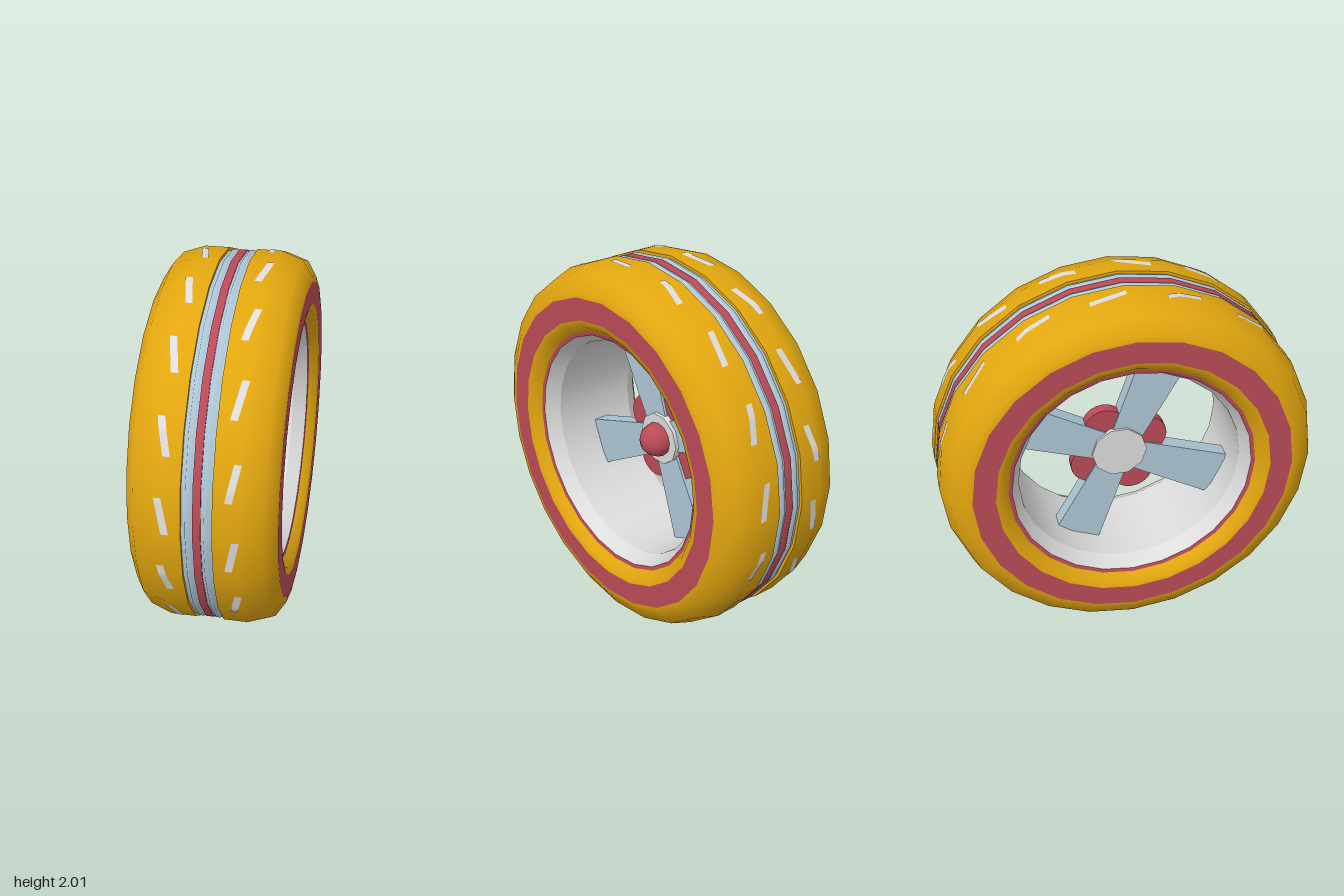
import * as THREE from 'three';

const SIDES = 24;

export function createModel() {
  const model = new THREE.Group();
  model.name = 'wheel';
  const wheel = new THREE.Group();
  wheel.name = 'wheelAssembly';
  wheel.position.y = 1;
  model.add(wheel);

  const mat = (name, color) => {
    const m = new THREE.MeshStandardMaterial({ color });
    m.name = name;
    return m;
  };
  const yellow = mat('yellow rubber', 0xe2a60f);
  const red = mat('red trim', 0xba4b57);
  const blue = mat('pale blue', 0xaec7d6);
  const white = mat('off white', 0xdcdcdc);

  const add = (parent, name, geo, material) => {
    const mesh = new THREE.Mesh(geo, material);
    mesh.name = name;
    parent.add(mesh);
    return mesh;
  };

  // Ring turned about the x axis from [x, radius] points
  const ring = (name, pts, material) => {
    const geo = new THREE.LatheGeometry(pts.map(([x, r]) => new THREE.Vector2(r, x)), SIDES);
    geo.rotateZ(-Math.PI / 2);
    return add(wheel, name, geo, material);
  };
  const flip = (pts) => pts.map(([x, r]) => [-x, r]).reverse();
  const pair = (name, pts, material) => {
    ring(name + 'Left', pts, material);
    ring(name + 'Right', flip(pts), material);
  };

  // Tyre: tread shoulders, sidewall bands and inner bead
  pair('treadShoulder', [[0.075, 1], [0.2, 1], [0.315, 0.96], [0.365, 0.88], [0.37, 0.85]], yellow);
  pair('grooveWall', [[0.075, 0.98], [0.075, 1]], yellow);
  pair('sidewallBand', [[0.37, 0.85], [0.37, 0.73]], red);
  pair('innerBead', [[0.37, 0.73], [0.36, 0.695], [0.32, 0.66]], yellow);
  pair('beadTrim', [[0.32, 0.66], [0.315, 0.64]], red);

  // Centre stripe set in the groove
  pair('grooveStripe', [[0.02, 0.986], [0.03, 0.986], [0.034, 0.993], [0.054, 0.993],
    [0.058, 0.984], [0.075, 0.984]], blue);
  ring('centreStripe', [[-0.02, 0.986], [-0.019, 0.993], [0.019, 0.993], [0.02, 0.986]], red);

  // Rim: sloped lips and a straight barrel
  pair('rimLip', [[0.315, 0.64], [0.24, 0.595]], white);
  ring('rimBarrel', [[0.24, 0.595], [-0.24, 0.595]], white);

  // Slanted tread dashes that follow the faceted tyre
  const step = (2 * Math.PI) / SIDES;
  const facetRadius = (a) => {
    const d = a - step * (Math.floor(a / step) + 0.5);
    return Math.cos(step / 2) / Math.cos(d);
  };
  const dash = (side, angle) => {
    const geo = new THREE.PlaneGeometry(1, 1, 2, 10);
    const p = geo.attributes.position;
    for (let i = 0; i < p.count; i++) {
      const u = p.getX(i), v = p.getY(i);
      const x = side * (0.169 + 0.037 * v) + 0.036 * u;
      const a = angle + v * 0.19;
      const drop = Math.max(0, Math.abs(x) - 0.2) * 0.35;
      const r = facetRadius(a) - drop + 0.003;
      p.setXYZ(i, x, r * Math.sin(a), r * Math.cos(a));
    }
    geo.computeVertexNormals();
    add(wheel, 'treadDash', geo, white);
  };
  for (let i = 0; i < 16; i++) {
    const a = (i * Math.PI) / 8;
    dash(1, a - 0.097);
    dash(-1, a + 0.1);
  }

  // Hub with domed cap, slightly off centre
  const hub = new THREE.Group();
  hub.name = 'hubAndSpokes';
  hub.position.z = -0.025;
  wheel.add(hub);
  const drum = new THREE.CylinderGeometry(0.145, 0.15, 0.12, 10);
  drum.rotateZ(-Math.PI / 2);
  add(hub, 'hubDrum', drum, white).position.x = -0.03;
  const cap = new THREE.SphereGeometry(0.095, 12, 10);
  cap.rotateZ(-Math.PI / 2);
  add(hub, 'hubCap', cap, red).position.x = 0.04;

  // Four flared spokes with round lobes between them
  const outline = new THREE.Shape([[0.05, -0.08], [0.61, -0.132], [0.61, 0.132], [0.05, 0.08]]
    .map(([x, y]) => new THREE.Vector2(x, y)));
  const spokeGeo = new THREE.ExtrudeGeometry(outline, { depth: 0.085, bevelEnabled: false });
  spokeGeo.translate(0, 0, -0.075);
  spokeGeo.rotateY(Math.PI / 2);
  const lobeGeo = new THREE.CylinderGeometry(0.115, 0.115, 0.06, 20);
  lobeGeo.rotateZ(-Math.PI / 2);
  for (let i = 0; i < 4; i++) {
    const a = THREE.MathUtils.degToRad(24 + 90 * i);
    add(hub, 'spoke', spokeGeo, blue).rotation.x = a;
    const b = a + THREE.MathUtils.degToRad(40);
    add(hub, 'lobe', lobeGeo, red).position.set(-0.035, 0.165 * Math.sin(b), -0.165 * Math.cos(b));
  }
  return model;
}
